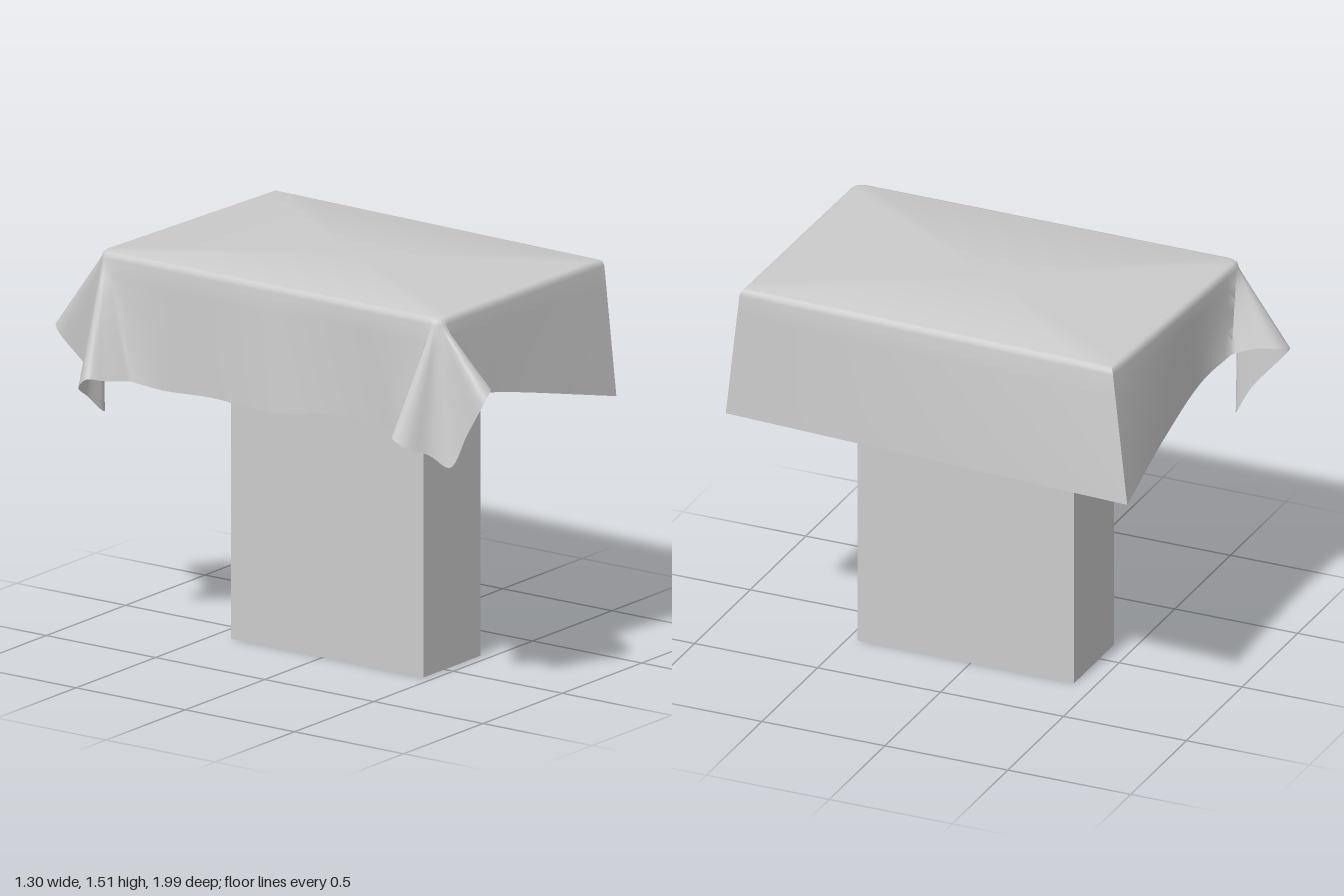
import * as THREE from 'three';
import { toCreasedNormals } from 'three/addons/utils/BufferGeometryUtils.js';

const TOP = 1.515, EDGE = 1.488, CX = 0.05;
const vec = (p) => new THREE.Vector3(...p);

// One stretch of cloth: the table edge it hangs from (start, bend, end as x, z)
// and the few hem points its lower border runs through.
function stretch(steps, [start, bend, end], hemPoints) {
  const edge = new THREE.QuadraticBezierCurve3(
    ...[start, bend, end].map(([x, z]) => new THREE.Vector3(x, EDGE, z)));
  const hem = new THREE.CatmullRomCurve3(hemPoints.map(vec), false, 'centripetal');
  return Array.from({ length: steps }, (_, i) => ({
    edge: edge.getPoint(i / steps), hem: hem.getPoint(i / steps),
  }));
}

// A straight side: its edge bends nowhere
const side = (steps, [ax, az], [bx, bz], hem) =>
  stretch(steps, [[ax, az], [(ax + bx) / 2, (az + bz) / 2], [bx, bz]], hem);

function hangingCloth() {
  // where the table edge changes from plain skirt to gathered corner
  const backLeft = [0.585, -0.74], frontLeft = [0.54, 0.80];
  const foldA = [-0.43, 0.791], foldB = [-0.48, 0.74];
  const foldC = [-0.471, -0.74], foldD = [-0.42, -0.788];
  // hem points shared by neighbouring stretches
  const hemBL = [0.645, 1.0, -0.825], hemFL = [0.54, 0.995, 0.855];
  const hemA = [-0.29, 1.195, 0.82], hemB = [-0.515, 1.06, 0.635];
  const hemC = [-0.515, 1.05, -0.60], hemD = [-0.29, 1.205, -0.825];

  return [
    ...side(10, backLeft, frontLeft, [hemBL, hemFL]),
    ...side(14, frontLeft, foldA, [hemFL, [-0.10, 1.155, 0.825], hemA]),
    // front gathered corner: one fin forward, one fin sideways
    ...stretch(60, [foldA, [-0.48, 0.79], foldB], [
      hemA, [-0.36, 1.22, 0.845], [-0.395, 1.255, 0.93], [-0.43, 1.27, 0.985],
      [-0.485, 1.24, 1.0], [-0.505, 1.10, 0.93], [-0.53, 0.97, 0.87],
      [-0.565, 1.015, 0.80], [-0.635, 1.05, 0.74], [-0.648, 1.08, 0.69],
      [-0.59, 1.075, 0.655], hemB]),
    // gently waving right side
    ...side(30, foldB, foldC, [
      hemB, [-0.487, 1.06, 0.54], [-0.488, 1.07, 0.30], [-0.505, 1.035, 0.04],
      [-0.487, 1.04, -0.25], [-0.485, 1.03, -0.48], hemC]),
    // back gathered corner
    ...stretch(60, [foldC, [-0.47, -0.79], foldD], [
      hemC, [-0.595, 1.06, -0.66], [-0.648, 1.07, -0.71], [-0.635, 1.03, -0.755],
      [-0.54, 0.97, -0.785], [-0.44, 0.89, -0.775], [-0.425, 1.02, -0.85],
      [-0.455, 1.19, -0.99], [-0.40, 1.21, -0.98], [-0.345, 1.22, -0.90], hemD]),
    ...side(14, foldD, backLeft, [hemD, [-0.13, 1.165, -0.785], [0.22, 1.09, -0.79], hemBL]),
  ];
}

function clothGeometry() {
  const loop = hangingCloth();
  const n = loop.length, round = 3, drop = 6, rings = round + 1 + drop;
  const pos = [CX, TOP, 0], index = [];
  // rings: rounded table edge, then the hanging skirt
  for (let k = 0; k < rings; k++) {
    for (const { edge, hem } of loop) {
      const p = edge.clone();
      if (k <= round) {
        const a = (k / round) * Math.PI / 2, inset = 0.022 * (1 - Math.sin(a));
        p.x = CX + (p.x - CX) * (1 - inset / 0.52);
        p.z *= 1 - inset / 0.79;
        p.y = EDGE + (TOP - EDGE) * Math.cos(a);
      } else {
        p.lerp(hem, (k - round) / drop);
      }
      pos.push(p.x, p.y, p.z);
    }
  }
  for (let i = 0; i < n; i++) {
    const j = (i + 1) % n;
    index.push(0, 1 + j, 1 + i); // flat top
    for (let k = 0; k < rings - 1; k++) {
      const a = 1 + k * n + i, b = 1 + k * n + j;
      index.push(a, b, a + n, b, b + n, a + n);
    }
  }
  const g = new THREE.BufferGeometry();
  g.setAttribute('position', new THREE.Float32BufferAttribute(pos, 3));
  g.setIndex(index);
  return toCreasedNormals(g, THREE.MathUtils.degToRad(45));
}

export function createModel() {
  const group = new THREE.Group();
  group.name = 'drapedTable';

  // pedestal: open rectangular sleeve
  const height = 1.19;
  const sleeve = new THREE.CylinderGeometry(Math.SQRT1_2, Math.SQRT1_2, height, 4, 1, true, Math.PI / 4);
  sleeve.scale(0.36, 1, 0.88);
  const pedestal = new THREE.Mesh(sleeve, new THREE.MeshStandardMaterial({
    color: 0xcccccc, flatShading: true, side: THREE.DoubleSide }));
  pedestal.position.set(0.047, height / 2, 0.02);
  pedestal.name = 'pedestal';
  group.add(pedestal);

  // tablecloth: flat top, hanging skirt and two gathered corners
  const cloth = new THREE.Mesh(clothGeometry(), new THREE.MeshStandardMaterial({
    color: 0xcccccc, side: THREE.DoubleSide }));
  cloth.name = 'tablecloth';
  group.add(cloth);
  return group;
}
